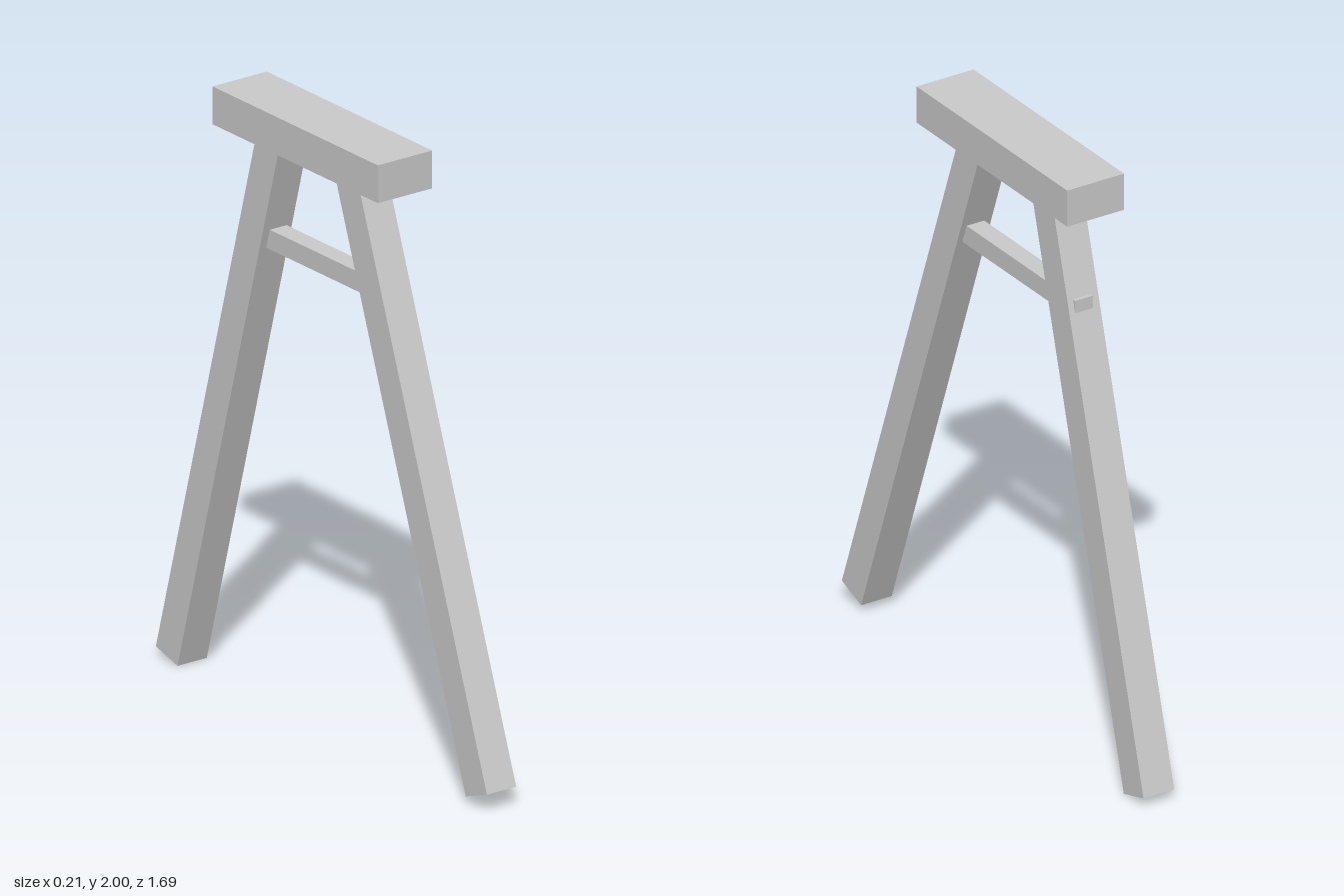
import * as THREE from 'three';

export function createModel() {
  const group = new THREE.Group();
  const material = new THREE.MeshStandardMaterial({ color: 0xcccccc, flatShading: true });

  function addBeam(name, width, height, depth, x, y, z) {
    const mesh = new THREE.Mesh(new THREE.BoxGeometry(width, height, depth), material);
    mesh.name = name;
    mesh.position.set(x, y, z);
    group.add(mesh);
    return mesh;
  }

  // Square leg running from the middle of its foot to the middle of its top end
  function addLeg(name, footY, footZ, topY, topZ) {
    const dy = topY - footY, dz = topZ - footZ;
    const leg = addBeam(name, 0.113, Math.hypot(dy, dz), 0.115, -0.003, (footY + topY) / 2, (footZ + topZ) / 2);
    leg.rotation.x = Math.atan2(dz, dy);
  }

  // Top beam, set slightly towards the back
  addBeam('topBeam', 0.21, 0.125, 0.845, 0, 1.9375, -0.073);

  // Splayed legs, their upper ends buried in the beam
  addLeg('frontLeg', 0.043, 0.793, 1.91, 0.117);
  addLeg('backLeg', 0.015, -0.79, 1.91, -0.264);

  // Crossbar, its back end just poking through the back leg
  addBeam('crossbar', 0.065, 0.065, 0.67, 0, 1.5375, -0.095);

  return group;
}
